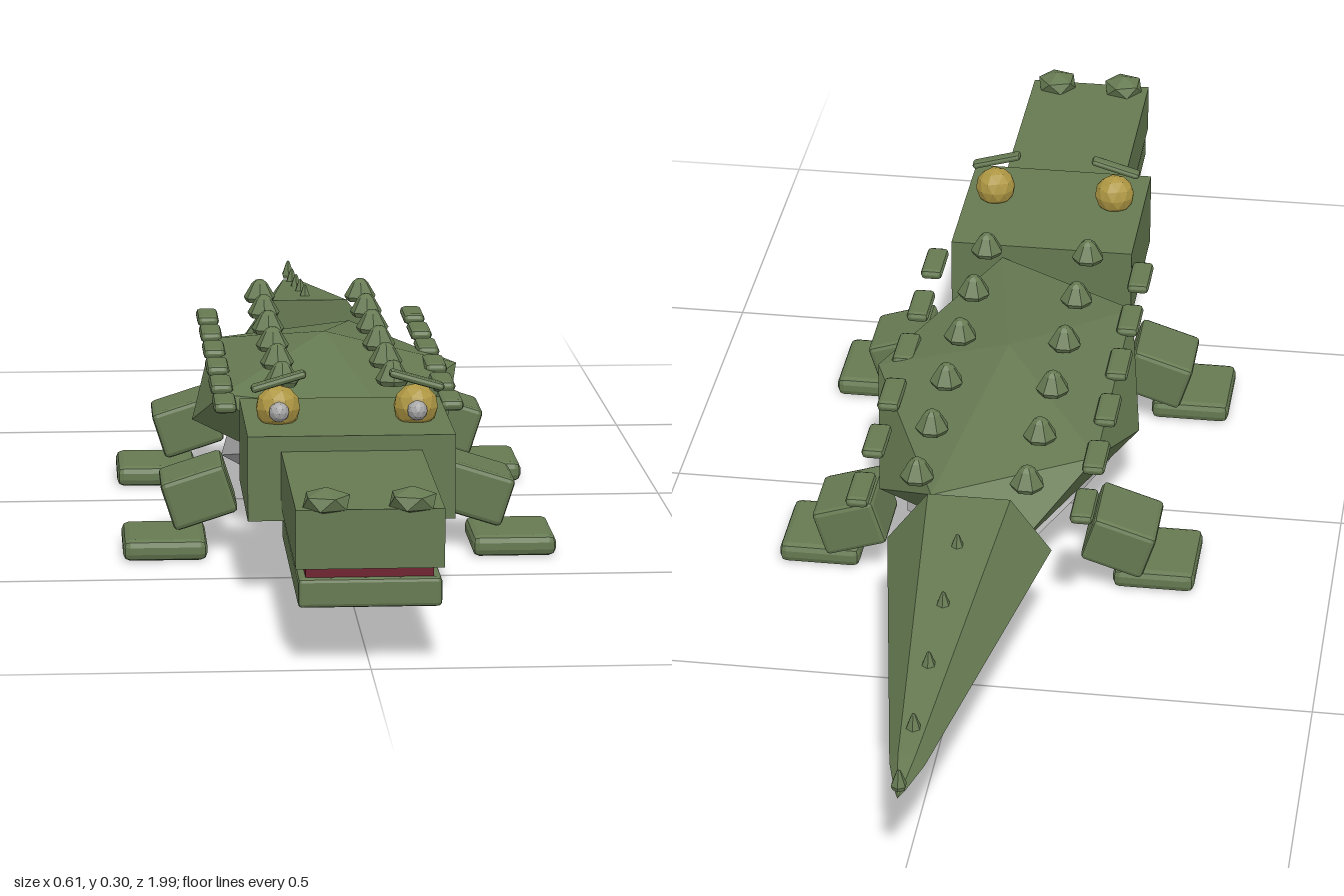
import * as THREE from 'three';
import { RoundedBoxGeometry } from 'three/addons/geometries/RoundedBoxGeometry.js';

const paint = (name, color) => {
  const m = new THREE.MeshStandardMaterial({ color, flatShading: true });
  m.name = name;
  return m;
};

export function createModel() {
  const hide = paint('hide green', 0x667a52);
  const pale = paint('pale grey', 0xa8a8a8);
  const gold = paint('eye gold', 0xae9743);
  const red = paint('mouth red', 0x6e2030);

  const model = new THREE.Group();
  model.name = 'crocodile';

  const add = (name, geometry, material, x, y, z, tilt = 0) => {
    const mesh = new THREE.Mesh(geometry, material);
    mesh.name = name;
    mesh.position.set(x, y, z);
    mesh.rotation.z = tilt;
    model.add(mesh);
    return mesh;
  };
  // Faceted ball standing on a vertex, stretched to the given radii
  const ball = (rx, ry, rz, detail = 0) =>
    new THREE.IcosahedronGeometry(1, detail).rotateX(-1.0172).rotateY(Math.PI / 2).scale(rx, ry, rz);
  const box = (w, h, d) => new THREE.BoxGeometry(w, h, d);
  const bevelBox = (w, h, d, r) => new RoundedBoxGeometry(w, h, d, 1, r);
  const lathe = (points, sides) =>
    new THREE.LatheGeometry(points.map(([r, y]) => new THREE.Vector2(r, y)), sides);

  // Trunk
  add('body', ball(0.218, 0.09, 0.415), hide, 0, 0.165, 0.017);
  add('belly', ball(0.17, 0.046, 0.35), pale, 0, 0.091, 0.017);

  // Head and jaws
  add('head', box(0.28, 0.116, 0.26), hide, 0, 0.168, 0.5);
  add('snout', box(0.19, 0.077, 0.375), hide, 0, 0.1665, 0.7975);
  add('mouth', box(0.164, 0.014, 0.37), red, 0, 0.121, 0.79);
  add('lowerJaw', bevelBox(0.184, 0.038, 0.385, 0.005), hide, 0, 0.096, 0.7925);

  // Tail: six-sided taper with a flat top and a blunted tip
  const tail = lathe([[0, 0], [1, 0], [0.2, 0.545], [0.06, 0.605], [0, 0.623]], 6);
  tail.rotateY(Math.PI / 6).rotateX(-Math.PI / 2);
  // Stand the section with two corners at the sides
  tail.rotateZ(cornerOffset(tail));
  tail.scale(0.117, 0.09, 1);
  add('tail', tail, hide, 0, 0.153, -0.375);

  // Small spines on the tail
  const spine = lathe([[0, 0], [0.009, 0], [0.011, 0.006], [0.003, 0.027], [0, 0.03]], 6);
  [[-0.483, 0.207], [-0.61, 0.194], [-0.737, 0.18], [-0.865, 0.167], [-0.985, 0.16]]
    .forEach(([z, y]) => add('tailSpine', spine, hide, 0, y, z));

  // Paired parts
  const knob = lathe([[0, 0], [0.021, 0], [0.025, 0.007], [0.012, 0.029], [0.006, 0.034], [0, 0.035]], 7);
  const scute = bevelBox(0.033, 0.016, 0.08, 0.007);
  const thigh = bevelBox(0.094, 0.072, 0.112, 0.007);
  const foot = bevelBox(0.118, 0.03, 0.135, 0.01);
  const eyeball = ball(0.031, 0.031, 0.031, 1);
  const pupil = ball(0.014, 0.014, 0.014, 1);
  const brow = bevelBox(0.078, 0.011, 0.02, 0.005);
  const nostril = ball(0.034, 0.0185, 0.035);

  for (const [side, s] of [['left', 1], ['right', -1]]) {
    for (let i = 0; i < 6; i++) {
      const z = 0.325 - i * 0.134;
      add(side + 'BackKnob', knob, hide, s * 0.078, 0.235, z);
      add(side + 'SideScute', scute, hide, s * 0.159, 0.211, z);
    }
    for (const [end, z] of [['Front', 0.295], ['Back', -0.191]]) {
      add(side + end + 'Leg', thigh, hide, s * 0.196, 0.08, z, -s * 0.31);
      add(side + end + 'Foot', foot, hide, s * 0.245, 0.015, z + 0.034);
    }
    add(side + 'Eye', eyeball, gold, s * 0.094, 0.245, 0.527);
    add(side + 'Pupil', pupil, pale, s * 0.094, 0.244, 0.555);
    add(side + 'Brow', brow, hide, s * 0.094, 0.284, 0.541, -s * 0.28);
    add(side + 'Nostril', nostril, hide, s * 0.055, 0.2125, 0.967);
  }
  return model;
}

// Angle that turns the widest corner of a six-sided section onto the x axis
function cornerOffset(geometry) {
  const p = geometry.attributes.position;
  for (let i = 0; i < p.count; i++) {
    if (Math.hypot(p.getX(i), p.getY(i)) > 0.99) return -Math.atan2(p.getY(i), p.getX(i));
  }
  return 0;
}
